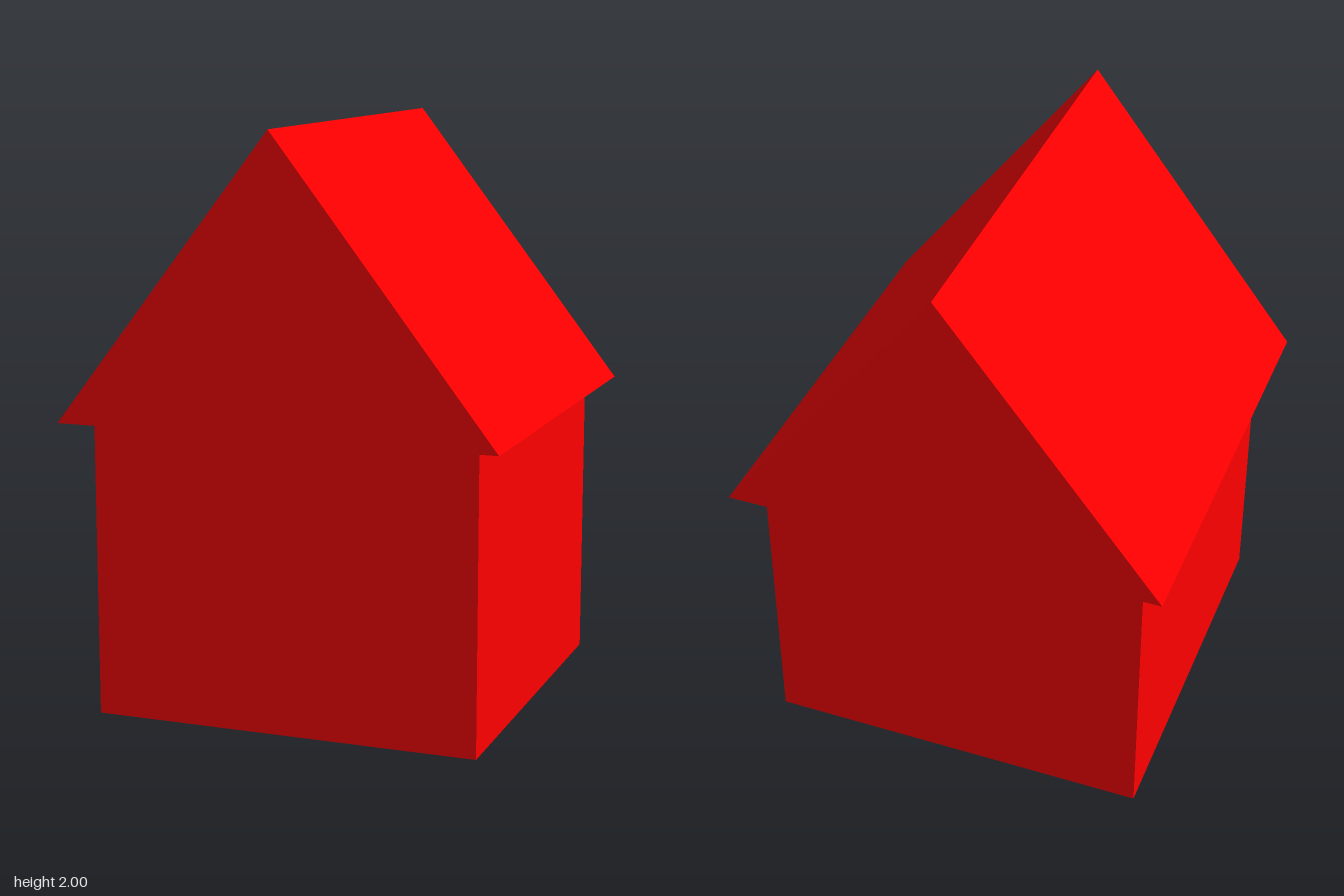
import * as THREE from 'three';

export function createModel() {
  const house = new THREE.Group();
  house.name = 'house';
  const red = new THREE.MeshStandardMaterial({ color: 0xff0000, flatShading: true });

  // Square body
  const wallWidth = 1.34, wallHeight = 1.02;
  const walls = new THREE.Mesh(new THREE.BoxGeometry(wallWidth, wallHeight, wallWidth), red);
  walls.name = 'walls';
  walls.position.y = wallHeight / 2;
  house.add(walls);

  // Solid gable roof: a triangle extruded front to back, overhanging on all sides
  const roofHalf = 0.76, roofHeight = 0.98;
  const gable = new THREE.Shape([
    new THREE.Vector2(-roofHalf, 0),
    new THREE.Vector2(roofHalf, 0),
    new THREE.Vector2(0, roofHeight),
  ]);
  const roof = new THREE.Mesh(
    new THREE.ExtrudeGeometry(gable, { depth: 2 * roofHalf, bevelEnabled: false }), red);
  roof.name = 'roof';
  roof.position.set(0, wallHeight, -roofHalf);
  house.add(roof);

  return house;
}
